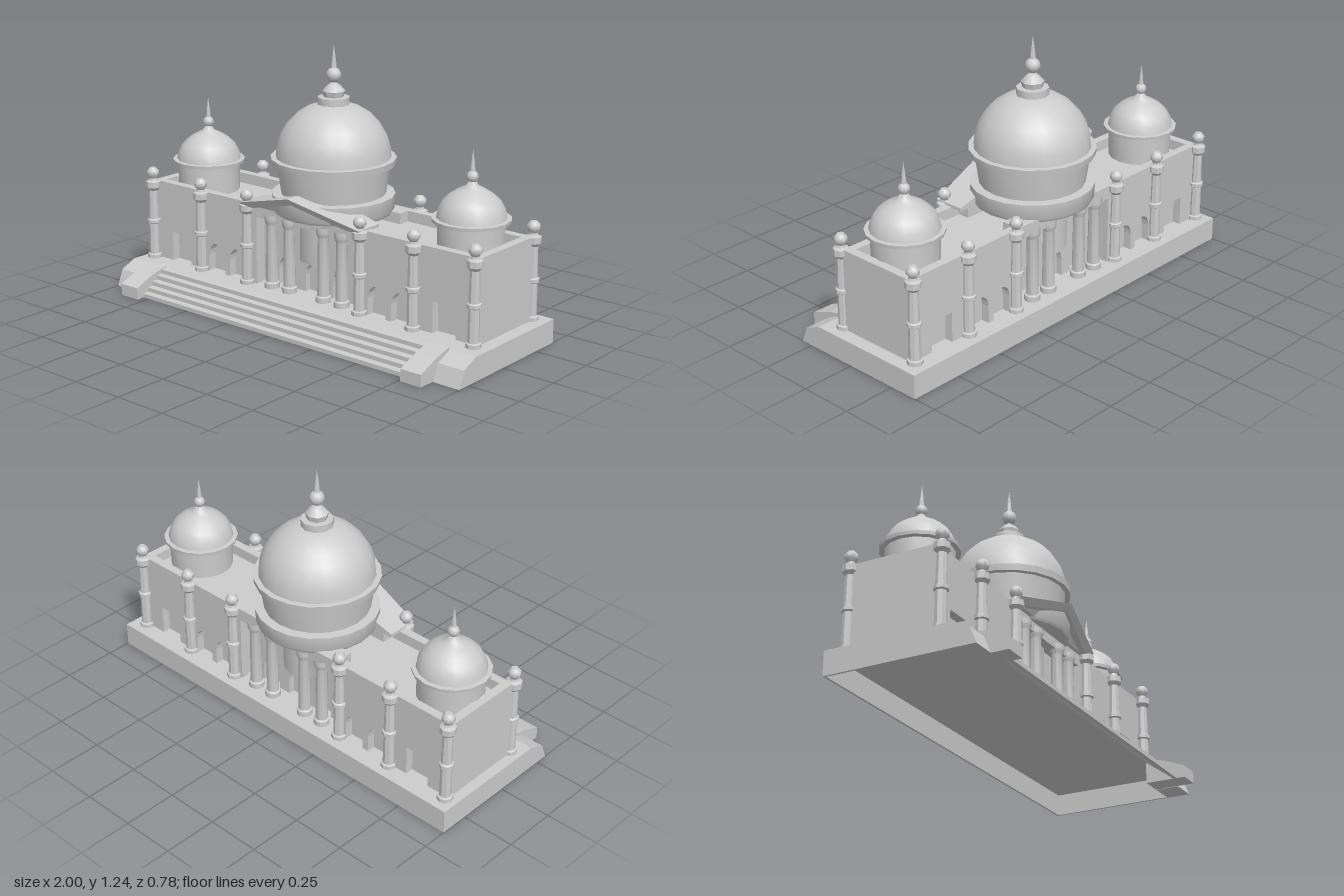
import * as THREE from 'three';
import { toCreasedNormals } from 'three/addons/utils/BufferGeometryUtils.js';

const stone = new THREE.MeshStandardMaterial({ color: 0xcccccc, side: THREE.DoubleSide });
stone.name = 'pale stone';

const FLOOR = 0.11, ROOF = 0.44, TOP = 0.49;
const FRONT = 0.095, BACK = -0.305, MID = (FRONT + BACK) / 2;
const SHIFT = -0.008; // small sideways offset of the building

function add(parent, name, geometry, x = 0, y = 0, z = 0) {
  const mesh = new THREE.Mesh(geometry, stone);
  mesh.name = name;
  mesh.position.set(x, y, z);
  parent.add(mesh);
  return mesh;
}

// box given by its limits
function block(parent, name, x0, x1, y0, y1, z0, z1) {
  return add(parent, name, new THREE.BoxGeometry(x1 - x0, y1 - y0, z1 - z0),
    (x0 + x1) / 2, (y0 + y1) / 2, (z0 + z1) / 2);
}

// turned part from [radius, height] pairs
function turned(parent, name, profile, sides, x, y, z) {
  const points = profile.map(([r, h]) => new THREE.Vector2(r, h));
  return add(parent, name, toCreasedNormals(new THREE.LatheGeometry(points, sides), 0.7), x, y, z);
}

function extrude(points, depth) {
  const shape = new THREE.Shape(points.map(([x, y]) => new THREE.Vector2(x, y)));
  return new THREE.ExtrudeGeometry(shape, { depth, bevelEnabled: false });
}

// wall with doorways cut up from the floor; doors: [centre, width, arched]
function wall(parent, name, x0, x1, top, z, depth, doors) {
  const outline = [[x0, top], [x0, FLOOR]];
  for (const [c, w, arched] of doors) {
    const h = w / 2;
    outline.push([c - h, FLOOR]);
    if (arched) {
      for (let i = 0; i <= 8; i++) {
        const a = Math.PI * (1 - i / 8);
        outline.push([c + h * Math.cos(a), 0.19 + 0.06 * Math.sin(a)]);
      }
    } else outline.push([c - h, 0.25], [c + h, 0.25]);
    outline.push([c + h, FLOOR]);
  }
  outline.push([x1, FLOOR], [x1, top]);
  return add(parent, name, extrude(outline, depth), 0, 0, z);
}

function createModel() {
  const model = new THREE.Group();
  model.name = 'domedHall';

  // hollow base: top plate and thin outer skirts
  const base = new THREE.Group();
  base.name = 'base';
  model.add(base);
  block(base, 'terrace', -1, 1, 0.1, FLOOR, -0.375, 0.2);
  block(base, 'backSkirt', -1, 1, 0, FLOOR, -0.385, -0.375);
  for (const s of [-1, 1]) {
    const side = s > 0 ? 'left' : 'right';
    block(base, side + 'Skirt', s * 0.995 - 0.005, s * 0.995 + 0.005, 0, FLOOR, -0.38, 0.2);

    // sloping front corner, drawn in z and y, swept across x
    const corner = extrude([[0.2, 0], [0.31, 0], [0.28, 0.075], [0.2, FLOOR]], 0.13).rotateY(-Math.PI / 2);
    add(base, side + 'FrontCorner', corner, s > 0 ? 1 : -0.87, 0, 0);

    // stair pier with sloping top
    const pier = extrude([[0.2, 0], [0.39, 0], [0.39, 0.055], [0.29, 0.095], [0.2, 0.118]], 0.105).rotateY(-Math.PI / 2);
    add(base, side + 'StairPier', pier, s * 0.825 - 0.0125 + 0.0525, 0, 0);
  }

  // stairs: one hollow stepped profile
  const tread = [[0.2, FLOOR]];
  const count = 5;
  for (let i = 0; i < count; i++) {
    const z = 0.2 + (i + 1) * 0.15 / count;
    tread.push([z, FLOOR * (1 - i / count) - 0.003], [z, FLOOR * (1 - (i + 1) / count)]);
  }
  tread.push([0.335, 0], [0.2, 0.1]);
  add(base, 'stairs', extrude(tread, 1.55).rotateY(-Math.PI / 2), 0.765, 0, 0);

  // hall
  const hall = new THREE.Group();
  hall.name = 'hall';
  hall.position.x = SHIFT;
  model.add(hall);
  for (const s of [-1, 1]) {
    const doors = [[s * 0.41, 0.1, true], [s * 0.54, 0.1, true], [s * 0.77, 0.12, false]];
    doors.sort((a, b) => a[0] - b[0]);
    const x0 = s > 0 ? 0.29 : -0.945, x1 = s > 0 ? 0.945 : -0.29;
    wall(hall, 'frontWall', x0, x1, TOP, FRONT - 0.04, 0.04, doors);
    wall(hall, 'backWall', x0, x1, TOP, BACK, 0.04, doors);
    block(hall, 'endWall', s * 0.925 - 0.02, s * 0.925 + 0.02, FLOOR, TOP, BACK + 0.001, FRONT - 0.001);
    block(hall, 'wingCore', x0 + 0.01, x1 - 0.01, FLOOR, ROOF, BACK + 0.04, FRONT - 0.04);
  }

  // recessed centre behind the portico columns
  const arches = [[-0.16, 0.1, true], [0, 0.1, true], [0.16, 0.1, true]];
  wall(hall, 'frontArcade', -0.3, 0.3, ROOF, 0.0, 0.03, arches);
  wall(hall, 'backArcade', -0.3, 0.3, ROOF, -0.24, 0.03, arches);
  block(hall, 'centreCore', -0.3, 0.3, FLOOR, ROOF, -0.21, 0.0);
  block(hall, 'frontLintel', -0.3, 0.3, 0.43, TOP, 0.0, FRONT);
  block(hall, 'backLintel', -0.3, 0.3, 0.43, TOP, BACK, -0.21);
  turned(hall, 'rotunda', [[0.16, 0.25], [0.16, 0.48]], 20, 0, 0, MID);

  // portico columns
  const pillar = [[0.036, 0], [0.036, 0.025], [0.028, 0.03], [0.025, 0.3], [0.034, 0.32], [0.034, 0.345]];
  for (const x of [-0.205, -0.1, 0.1, 0.205])
    for (const z of [FRONT - 0.01, BACK + 0.01])
      turned(hall, 'porticoColumn', pillar, 10, x, FLOOR, z);

  // slim engaged columns with ring, capital and finial
  const shaft = [[0.035, 0], [0.035, 0.018], [0.026, 0.022], [0.025, 0.17], [0.033, 0.175], [0.033, 0.19],
    [0.025, 0.195], [0.022, 0.335], [0.036, 0.35], [0.036, 0.378], [0.02, 0.385], [0.017, 0.395],
    [0.029, 0.412], [0.029, 0.43], [0.016, 0.445], [0, 0.447]];
  for (const x of [0.33, 0.62, 0.935])
    for (const s of [-1, 1])
      for (const z of [0.115, -0.315])
        turned(hall, 'engagedColumn', shaft, 8, s * x, FLOOR, z);

  // pediment whose peak leans forward
  const lean = (geometry, edge, reach) => {
    const p = geometry.attributes.position;
    for (let i = 0; i < p.count; i++)
      if (p.getZ(i) > 0.01) p.setZ(i, edge + reach * (p.getY(i) - 0.49) / 0.1);
    geometry.computeVertexNormals();
    return geometry;
  };
  const rake = extrude([[-0.345, 0.485], [-0.27, 0.485], [0, 0.56], [0.27, 0.485], [0.345, 0.485], [0.345, 0.5],
    [0, 0.592], [-0.345, 0.5]], 0.1);
  add(hall, 'pedimentRake', lean(rake, 0.14, 0.07));
  const field = extrude([[-0.28, 0.485], [0.28, 0.485], [0, 0.562]], 0.1);
  add(hall, 'pedimentField', lean(field, 0.115, 0.05));

  // great dome, from lower ring to spire
  const great = new THREE.Group();
  great.name = 'greatDome';
  great.position.set(0, 0, MID);
  hall.add(great);
  turned(great, 'lowerRing', [[0, 0.475], [0.265, 0.475], [0.275, 0.49], [0.28, 0.56], [0.235, 0.562]], 20, 0, 0, 0);
  turned(great, 'drum', [[0.238, 0.56], [0.257, 0.695]], 20, 0, 0, 0);
  turned(great, 'cornice', [[0.255, 0.695], [0.28, 0.695], [0.284, 0.725], [0.25, 0.727]], 20, 0, 0, 0);
  turned(great, 'shell', [[0.26, 0.725], [0.255, 0.775], [0.24, 0.825], [0.21, 0.875], [0.17, 0.918],
    [0.12, 0.95], [0.07, 0.966], [0, 0.97]], 20, 0, 0, 0);
  turned(great, 'crownPlate', [[0.06, 0.962], [0.073, 0.965], [0.073, 0.998], [0, 1.0]], 10, 0, 0, 0);
  turned(great, 'crownBud', [[0.045, 0.998], [0.052, 1.025], [0.03, 1.05], [0.012, 1.062], [0.012, 1.075]], 8, 0, 0, 0);
  add(great, 'finialBall', new THREE.SphereGeometry(0.034, 12, 8), 0, 1.097, 0);
  turned(great, 'spire', [[0.014, 1.12], [0.009, 1.17], [0, 1.235]], 8, 0, 0, 0);

  // pair of small domes
  for (const s of [-1, 1]) {
    const small = new THREE.Group();
    small.name = s > 0 ? 'leftDome' : 'rightDome';
    small.position.set(s * 0.765, 0, -0.095);
    hall.add(small);
    turned(small, 'drum', [[0.145, ROOF], [0.148, 0.575]], 16, 0, 0, 0);
    turned(small, 'cornice', [[0.145, 0.573], [0.17, 0.575], [0.172, 0.59], [0.14, 0.592]], 16, 0, 0, 0);
    turned(small, 'shell', [[0.152, 0.59], [0.145, 0.625], [0.125, 0.662], [0.095, 0.69], [0.06, 0.712],
      [0.028, 0.728], [0.014, 0.75]], 16, 0, 0, 0);
    add(small, 'finialBall', new THREE.SphereGeometry(0.026, 10, 8), 0, 0.768, 0);
    turned(small, 'spire', [[0.012, 0.785], [0.008, 0.83], [0, 0.887]], 8, 0, 0, 0);
  }

  return model;
}

export { createModel };
